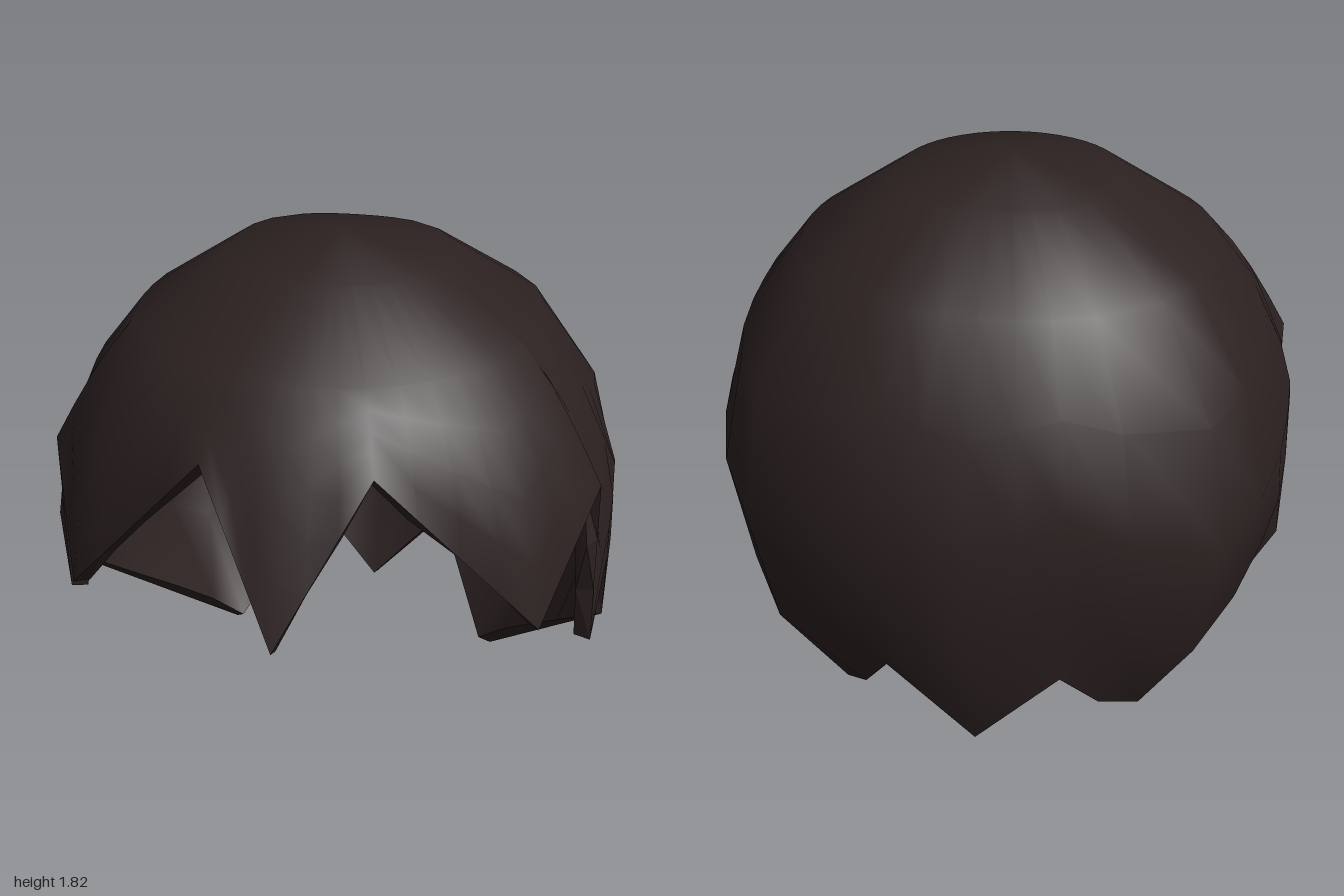
import * as THREE from 'three';

const CY = 0.84, CZ = -0.05, THICK = 0.06;
const CROWN = [Math.PI / 8, Math.PI / 4]; // rings shared by every column
const LOWER = 4; // rings between the crown and the hairline
const ROWS = CROWN.length + LOWER;

// Jagged hairline corners on the left half, front centre to back centre
const HALF = [
  [0, 0.82, 1.0], [0.27, 1.32, 0.77], [0.77, 0.75, 0.585],
  [0.92, 1.11, 0.25], [0.92, 0.51, 0.22], [0.95, 0.72, 0], [0.945, 0.45, -0.06],
  [0.51, 0, -0.51], [0.39, 0.16, -0.73], [0.28, 0.36, -0.89], [0, 0.07, -0.86],
];

// Mirror the hairline and split every edge into short straight pieces
function hairline() {
  const mirrored = HALF.slice(1, -1).reverse().map(([x, y, z]) => [-x, y, z]);
  const corners = [...HALF, ...mirrored].map((p) => new THREE.Vector3(...p));
  const points = [];
  corners.forEach((p, i) => {
    const q = corners[(i + 1) % corners.length];
    const n = Math.max(1, Math.round(p.distanceTo(q) / 0.2));
    for (let k = 0; k < n; k++) points.push(p.clone().lerp(q, k / n));
  });
  return points;
}

// Plan radius of the dome: a little fuller at the back corners
function planRadius(a) {
  const side = 0.025 * Math.sin(a) ** 2;
  const corner = Math.cos(a) < 0 ? 0.07 * Math.sin(2 * a) ** 2 : 0;
  return 0.94 + side + corner;
}

// Vertices run from the crown down each column to its hairline point
function domePoints(rim) {
  const pos = [0, CY + 0.98, CZ];
  for (let i = 0; i < ROWS; i++) {
    const s = Math.max(0, (i + 1 - CROWN.length) / LOWER);
    for (const p of rim) {
      const a = Math.atan2(p.x, p.z - CZ);
      const end = Math.acos((p.y - CY) / (p.y > CY ? 0.98 : 1.1));
      const flare = Math.hypot(p.x, p.z - CZ) - planRadius(a) * Math.sin(end);
      const th = CROWN[i] ?? THREE.MathUtils.lerp(CROWN[1], end, s);
      const r = planRadius(a) * Math.sin(th) + flare * s ** 3;
      const h = Math.cos(th) > 0 ? 0.98 : 1.1;
      const x = THREE.MathUtils.clamp(r * Math.sin(a), -0.955, 0.955);
      pos.push(x, CY + h * Math.cos(th), CZ + r * Math.cos(a));
    }
  }
  return pos;
}

function domeIndex(cols, flip) {
  const index = [];
  const at = (i, j) => (i === 0 ? 0 : 1 + (i - 1) * cols + (j % cols));
  const tri = (a, b, c) => (flip ? index.push(a, c, b) : index.push(a, b, c));
  for (let i = 0; i < ROWS; i++) {
    for (let j = 0; j < cols; j++) {
      tri(at(i, j), at(i + 1, j), at(i + 1, j + 1));
      if (i > 0) tri(at(i, j), at(i + 1, j + 1), at(i, j + 1));
    }
  }
  return index;
}

function makeGeometry(pos, index) {
  const g = new THREE.BufferGeometry();
  g.setAttribute('position', new THREE.Float32BufferAttribute(pos, 3));
  g.setIndex(index);
  g.computeVertexNormals();
  return g;
}

export function createModel() {
  const group = new THREE.Group();
  group.name = 'hair';
  const hair = new THREE.MeshStandardMaterial({ color: 0x2c2121 });
  hair.name = 'dark brown hair';
  const add = (name, geometry) => {
    const mesh = new THREE.Mesh(geometry, hair);
    mesh.name = name;
    group.add(mesh);
  };

  // Outer surface
  const rim = hairline();
  const cols = rim.length;
  const outerPos = domePoints(rim);
  const outer = makeGeometry(outerPos, domeIndex(cols, false));
  add('outerHair', outer);

  // Inner surface, set in along the normals
  const normals = outer.attributes.normal.array;
  const innerPos = outerPos.map((v, k) => v - THICK * normals[k]);
  add('innerHair', makeGeometry(innerPos, domeIndex(cols, true)));

  // Cut edge joining both surfaces along the hairline
  const start = 3 * (1 + (ROWS - 1) * cols);
  const edgePos = [...outerPos.slice(start), ...innerPos.slice(start)];
  const edgeIndex = [];
  for (let j = 0; j < cols; j++) {
    const k = (j + 1) % cols;
    edgeIndex.push(j, cols + j, k, k, cols + j, cols + k);
  }
  const edge = makeGeometry(edgePos, edgeIndex).toNonIndexed();
  edge.computeVertexNormals();
  add('hairEdge', edge);

  return group;
}
